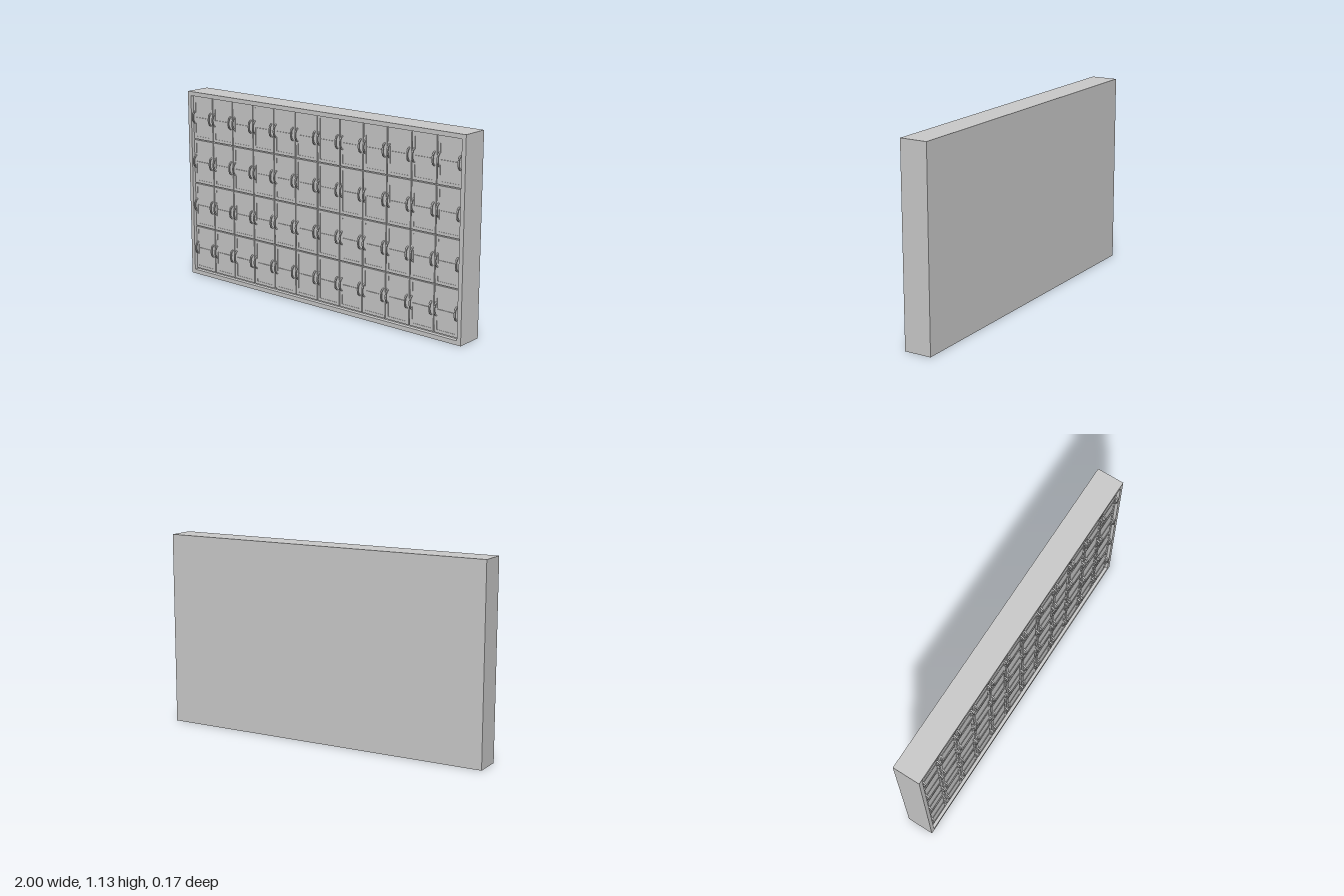
import * as THREE from 'three';

const W = 2, H = 1.13, BACK = -0.083, FRONT = 0.077;
const COLS = 12, ROWS = 4;
const X0 = -0.975, Y0 = 0.03, CW = 1.95 / COLS, CH = 1.08 / ROWS;
const DOOR_Z = 0.06, GAP = 0.006, INSET = 0.02;

const mat = new THREE.MeshStandardMaterial({ color: 0xcccccc });

function add(parent, name, geo, x = 0, y = 0, z = 0) {
  const m = new THREE.Mesh(geo, mat);
  m.name = name;
  m.position.set(x, y, z);
  parent.add(m);
  return m;
}

function rectPath(path, x, y, w, h) {
  path.moveTo(x, y);
  path.lineTo(x + w, y);
  path.lineTo(x + w, y + h);
  path.lineTo(x, y + h);
  path.closePath();
  return path;
}

// Flat rectangular ring extruded along z
function ring(w, h, border, depth) {
  const s = rectPath(new THREE.Shape(), -w / 2, -h / 2, w, h);
  s.holes.push(rectPath(new THREE.Path(), -w / 2 + border, -h / 2 + border, w - 2 * border, h - 2 * border));
  return new THREE.ExtrudeGeometry(s, { depth, bevelEnabled: false });
}

// Bowed handle, standing out towards +z
function handleGeometry() {
  const s = new THREE.Shape();
  s.moveTo(-0.04, 0);
  s.quadraticCurveTo(-0.03, 0.023, 0, 0.023);
  s.quadraticCurveTo(0.03, 0.023, 0.04, 0);
  s.lineTo(0.033, 0);
  s.quadraticCurveTo(0.025, 0.017, 0, 0.017);
  s.quadraticCurveTo(-0.025, 0.017, -0.033, 0);
  s.closePath();
  const g = new THREE.ExtrudeGeometry(s, { depth: 0.008, bevelEnabled: false, curveSegments: 6 });
  g.translate(0, 0, -0.004);
  // Shape x becomes y, shape y becomes z, depth becomes x
  g.applyMatrix4(new THREE.Matrix4().set(0, 0, 1, 0, 1, 0, 0, 0, 0, 1, 0, 0, 0, 0, 0, 1));
  return g;
}

export function createModel() {
  const group = new THREE.Group();
  group.name = 'lockerWall';

  // Cabinet body and its raised outer frame
  const bodyFront = DOOR_Z - 0.008;
  add(group, 'cabinetBody', new THREE.BoxGeometry(W, H, bodyFront - BACK), 0, H / 2, (bodyFront + BACK) / 2);
  add(group, 'outerFrame', ring(W, H, 0.025, FRONT - bodyFront), 0, H / 2, bodyFront);

  const dw = CW - GAP, dh = CH - GAP;
  const rim = ring(dw, dh, INSET - GAP / 2, 0.008);
  const panel = new THREE.BoxGeometry(dw - 2 * INSET + GAP, dh - 2 * INSET + GAP, 0.006);
  const rib = new THREE.BoxGeometry(dw - 2 * INSET, 0.001, 0.005);
  const handle = handleGeometry();

  // Grid of doors, each with a sunk panel and a handle on either side
  for (let r = 0; r < ROWS; r++) {
    for (let c = 0; c < COLS; c++) {
      const door = new THREE.Group();
      door.name = 'door';
      door.position.set(X0 + (c + 0.5) * CW, Y0 + (r + 0.5) * CH, DOOR_Z);
      add(door, 'doorRim', rim, 0, 0, -0.008);
      add(door, 'doorPanel', panel, 0, 0, -0.005);
      add(door, 'doorRib', rib, 0, 0, 0);
      for (const side of [-1, 1]) {
        add(door, 'handle', handle, side * (CW / 2 - 0.016), 0, 0);
      }
      group.add(door);
    }
  }
  return group;
}
